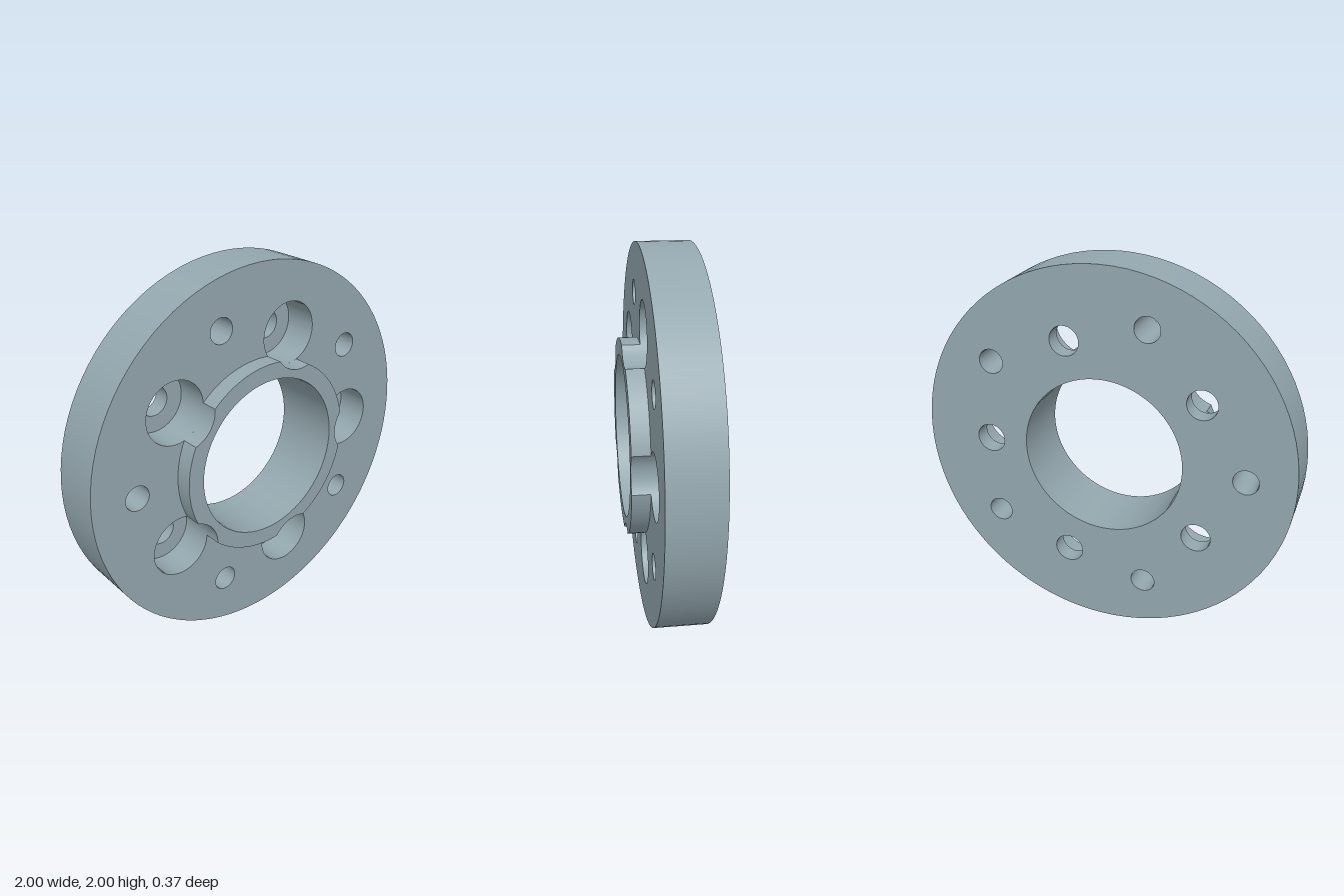
import * as THREE from 'three';
import { mergeGeometries } from 'three/addons/utils/BufferGeometryUtils.js';

const TAU = Math.PI * 2, STEP = TAU / 5;
const BACK = -0.183, FLOOR = -0.09, FRONT = 0.09, HUB = 0.183; // z levels
const R_DISC = 1, R_BORE = 0.428, R_HUB = 0.516;
const R_BOLT = 0.078, R_SINK = 0.164, BOLT_AT = 0.635;
const R_PIN = 0.066, PIN_AT = 0.75;

// Half-angles of the cut between counterbore and hub: seen from the axis, and from the counterbore
const cutHub = Math.acos((BOLT_AT ** 2 + R_HUB ** 2 - R_SINK ** 2) / (2 * BOLT_AT * R_HUB));
const cutSink = Math.acos((BOLT_AT ** 2 + R_SINK ** 2 - R_HUB ** 2) / (2 * BOLT_AT * R_SINK));

const arc = (x, y, r, a0 = 0, a1 = TAU) => ({ x, y, r, a0, a1 });
const five = (fn) => [0, 1, 2, 3, 4].map((k) => fn(k * STEP));
const around = (dist, r, turn = 0, a0 = 0, a1 = TAU) => five((a) =>
  arc(dist * Math.cos(a + turn), dist * Math.sin(a + turn), r, a + a0, a + a1));

function angles({ a0, a1 }) {
  const n = Math.max(8, Math.ceil((Math.abs(a1 - a0) / TAU) * 96));
  return Array.from({ length: n + 1 }, (_, i) => a0 + ((a1 - a0) * i) / n);
}

// Closed outline from arcs joined end to end
const outline = (...arcs) => arcs.flatMap((c) => angles(c).slice(0, -1).map(
  (a) => new THREE.Vector2(c.x + c.r * Math.cos(a), c.y + c.r * Math.sin(a))));

// Flat face at height z, with holes
function face(points, holes, z) {
  const shape = new THREE.Shape(points);
  shape.holes = holes.map((h) => new THREE.Path(h));
  return new THREE.ShapeGeometry(shape).translate(0, 0, z);
}

// Smooth curved wall along an arc, facing outwards (1) or inwards (-1)
function wall(c, z0, z1, side) {
  const pos = [], nor = [], uv = [], idx = [];
  angles(c).forEach((a, i, all) => {
    const cos = Math.cos(a), sin = Math.sin(a);
    [z0, z1].forEach((z, j) => {
      pos.push(c.x + c.r * cos, c.y + c.r * sin, z);
      nor.push(side * cos, side * sin, 0);
      uv.push(i / (all.length - 1), j);
    });
    if (i === all.length - 1) return;
    const p = i * 2;
    if (side > 0) idx.push(p, p + 2, p + 3, p, p + 3, p + 1);
    else idx.push(p, p + 3, p + 2, p, p + 1, p + 3);
  });
  const g = new THREE.BufferGeometry();
  g.setAttribute('position', new THREE.Float32BufferAttribute(pos, 3));
  g.setAttribute('normal', new THREE.Float32BufferAttribute(nor, 3));
  g.setAttribute('uv', new THREE.Float32BufferAttribute(uv, 2));
  g.setIndex(idx);
  return g;
}

export function createModel() {
  const group = new THREE.Group();
  group.name = 'wheelSpacer';
  const material = new THREE.MeshStandardMaterial({ color: 0x93a7ae });
  const add = (name, ...geometries) => {
    const mesh = new THREE.Mesh(mergeGeometries(geometries), material);
    mesh.name = name;
    mesh.position.y = R_DISC;
    group.add(mesh);
  };

  const rim = arc(0, 0, R_DISC), bore = arc(0, 0, R_BORE);
  const bolts = around(BOLT_AT, R_BOLT);
  const sinks = around(BOLT_AT, R_SINK);
  const pins = around(PIN_AT, R_PIN, STEP / 2);

  // Hub arcs between the counterbores, and the counterbore arcs outside and inside the hub
  const hubArcs = five((a) => arc(0, 0, R_HUB, a + cutHub, a + STEP - cutHub));
  const bulges = around(BOLT_AT, R_SINK, 0, cutSink - Math.PI, Math.PI - cutSink);
  const notches = around(BOLT_AT, R_SINK, 0, Math.PI + cutSink, Math.PI - cutSink);
  const hubLoop = (cuts) => outline(...hubArcs.flatMap((h, k) => [h, cuts[(k + 1) % 5]]));

  // Main disc: rim, front and back faces
  add('disc',
    wall(rim, BACK, FRONT, 1),
    face(outline(rim), [hubLoop(bulges), ...pins.map((p) => outline(p))], FRONT),
    face(outline(rim), [bore, ...bolts, ...pins].map((c) => outline(c)), -BACK).rotateX(Math.PI));

  // Raised centring hub, notched by the counterbores
  add('hub',
    face(hubLoop(notches), [outline(bore)], HUB),
    ...hubArcs.map((h) => wall(h, FRONT, HUB, 1)),
    ...notches.map((n) => wall({ ...n, a0: n.a1, a1: n.a0 }, FRONT, HUB, -1)));

  add('centreBore', wall(bore, BACK, HUB, -1));

  // Bolt holes with flat-bottomed counterbores
  bolts.forEach((b, k) => add('boltHole' + (k + 1),
    wall(b, BACK, FLOOR, -1),
    face(outline(sinks[k]), [outline(b)], FLOOR),
    wall(sinks[k], FLOOR, FRONT, -1)));

  // Plain through holes
  pins.forEach((p, k) => add('plainHole' + (k + 1), wall(p, BACK, FRONT, -1)));

  return group;
}
